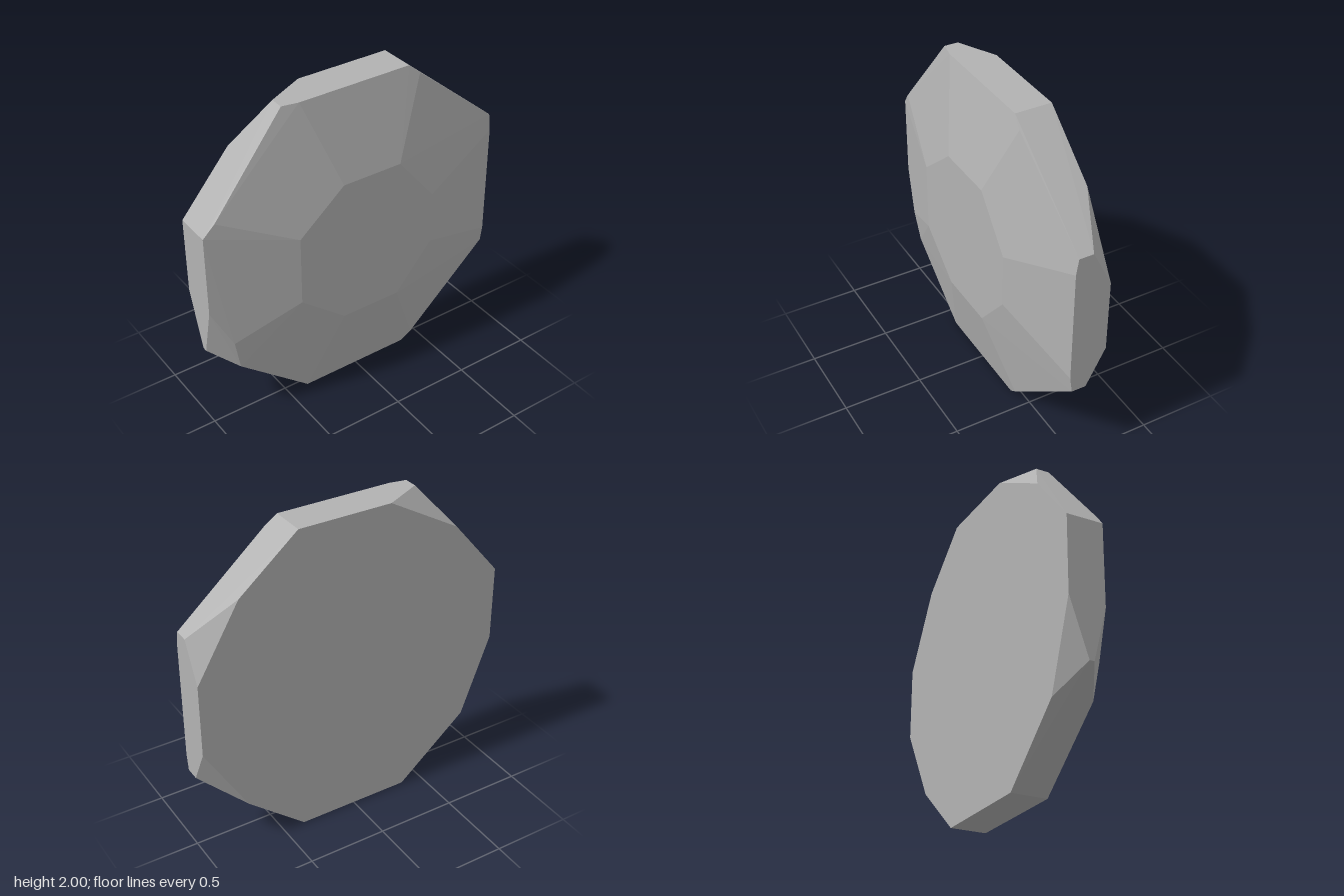
import * as THREE from 'three';
import { ConvexGeometry } from 'three/addons/geometries/ConvexGeometry.js';

const FRONT = 0.175, BACK = -0.175;
const at = (z, points) => points.map(([x, y]) => new THREE.Vector3(x, y, z));
const points3 = (list) => list.map((p) => new THREE.Vector3(...p));

export function createModel() {
  const model = new THREE.Group();
  const stone = new THREE.MeshStandardMaterial({ color: 0xb2b2b2 });
  stone.name = 'stone grey';

  // flat octagonal front face
  const frontFace = at(FRONT, [
    [-0.17, 1.47], [0.22, 1.47], [0.465, 1.17], [0.465, 0.83],
    [0.22, 0.54], [-0.17, 0.54], [-0.465, 0.78], [-0.465, 1.22],
  ]);

  // rim where the sloping front facets meet the sides
  const rim = points3([
    [-0.47, 2, 0.03], [-0.37, 2, 0.049], [0.36, 2, 0.049], [0.43, 1.94, 0.062],
    [1, 1.47, 0.035], [1, 1.37, 0.05], [1, 0.64, 0.05], [1, 0.535, 0.035],
    [0.43, 0.06, 0.062], [0.36, 0, 0.049], [-0.365, 0, 0.049],
    [-0.93, 1.45, 0.062], [-1, 1.37, 0.05],
  ]);

  // clipped lower right corner
  const clippedCorner = points3([
    [-1, 0.86, 0.05], [-0.87, 0.6, 0.081], [-0.83, 0.395, 0.062],
    [-1, 0.535, -0.03], [-1, 0.535, -0.06],
  ]);

  // back face, with the three other corners cut off behind
  const backFace = at(BACK, [
    [0.36, 2], [0.73, 1.69], [1, 1.23], [1, 0.77], [0.73, 0.31], [0.36, 0],
    [-0.365, 0], [-0.81, 0.38], [-1, 0.89], [-1, 1.37], [-0.69, 1.735], [-0.23, 2],
  ]);
  const backCuts = at(-0.055, [[-0.47, 2], [1, 1.47], [1, 0.535]]);

  const body = new THREE.Mesh(
    new ConvexGeometry([...frontFace, ...rim, ...clippedCorner, ...backFace, ...backCuts]),
    stone,
  );
  body.name = 'facetedSlab';
  model.add(body);
  return model;
}
